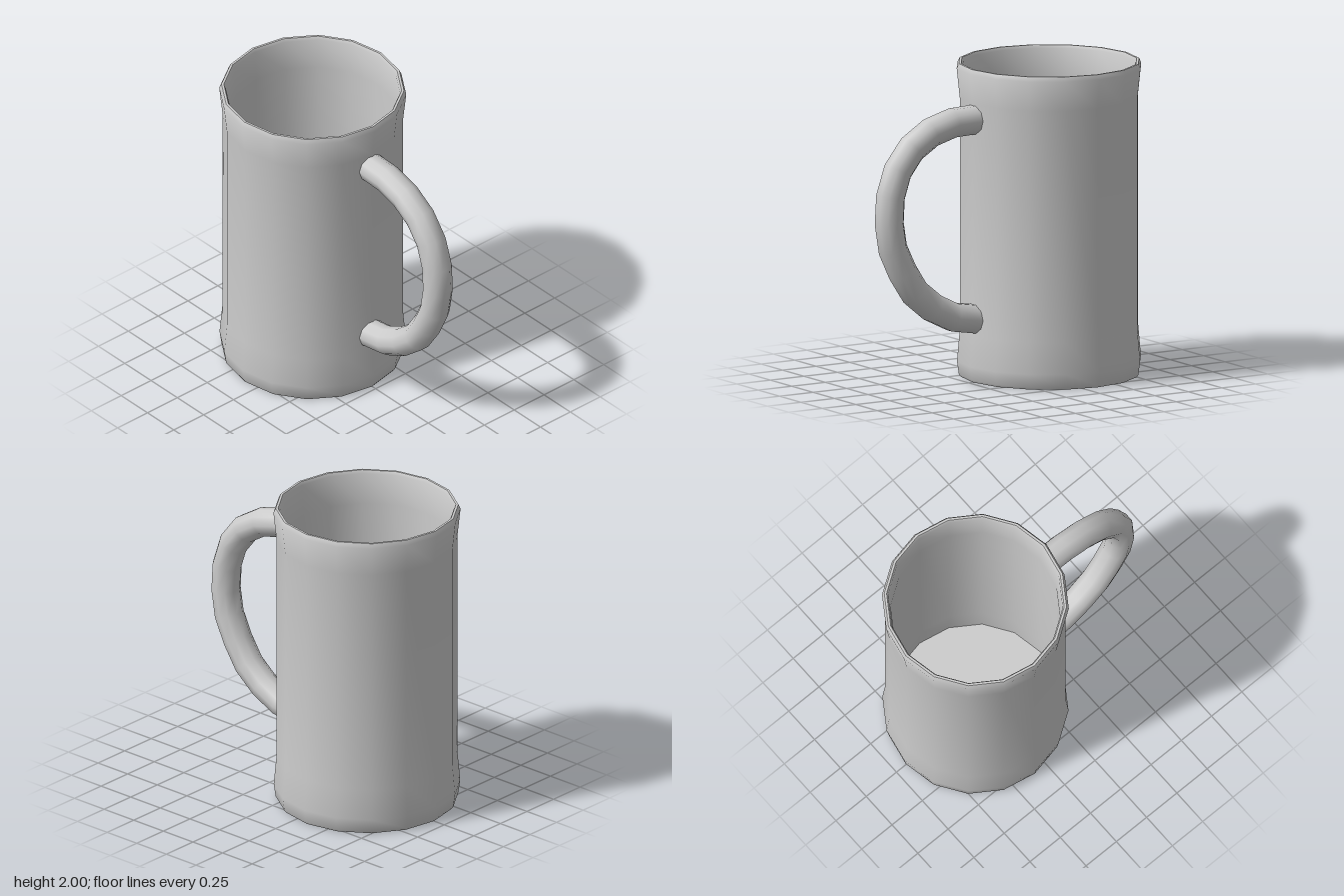
import * as THREE from 'three';
import { toCreasedNormals } from 'three/addons/utils/BufferGeometryUtils.js';

export function createModel() {
  const model = new THREE.Group();
  model.name = 'mug';
  const material = new THREE.MeshStandardMaterial({ color: 0xcccccc, side: THREE.DoubleSide });

  // Hollow body: underside, flared outer wall, rim, inner wall, floor
  const profile = [
    [0, 0.005], [0.565, 0], [0.575, 0.015], [0.587, 0.1], [0.569, 0.3],
    [0.569, 1.78], [0.589, 1.97], [0.575, 2], [0.56, 2], [0.55, 1.98],
    [0.535, 1.78], [0.535, 0.3], [0.54, 0.08], [0, 0.08],
  ].map(([r, y]) => new THREE.Vector2(r, y));
  const body = new THREE.Mesh(
    toCreasedNormals(new THREE.LatheGeometry(profile, 16), THREE.MathUtils.degToRad(48)),
    material
  );
  body.name = 'body';
  body.position.z = -0.348;
  model.add(body);

  // Round handle in the x = 0 plane, its ends buried in the wall
  const path = [
    [1.68, 0.2], [1.67, 0.395], [1.615, 0.56], [1.52, 0.695], [1.395, 0.785],
    [1.245, 0.833], [1.095, 0.843], [0.925, 0.82], [0.77, 0.75], [0.62, 0.655],
    [0.505, 0.515], [0.43, 0.36], [0.405, 0.2],
  ].map(([y, z]) => new THREE.Vector3(0, y, z));
  const handle = new THREE.Mesh(
    new THREE.TubeGeometry(new THREE.CatmullRomCurve3(path), 12, 0.094, 10),
    material
  );
  handle.name = 'handle';
  model.add(handle);

  return model;
}
